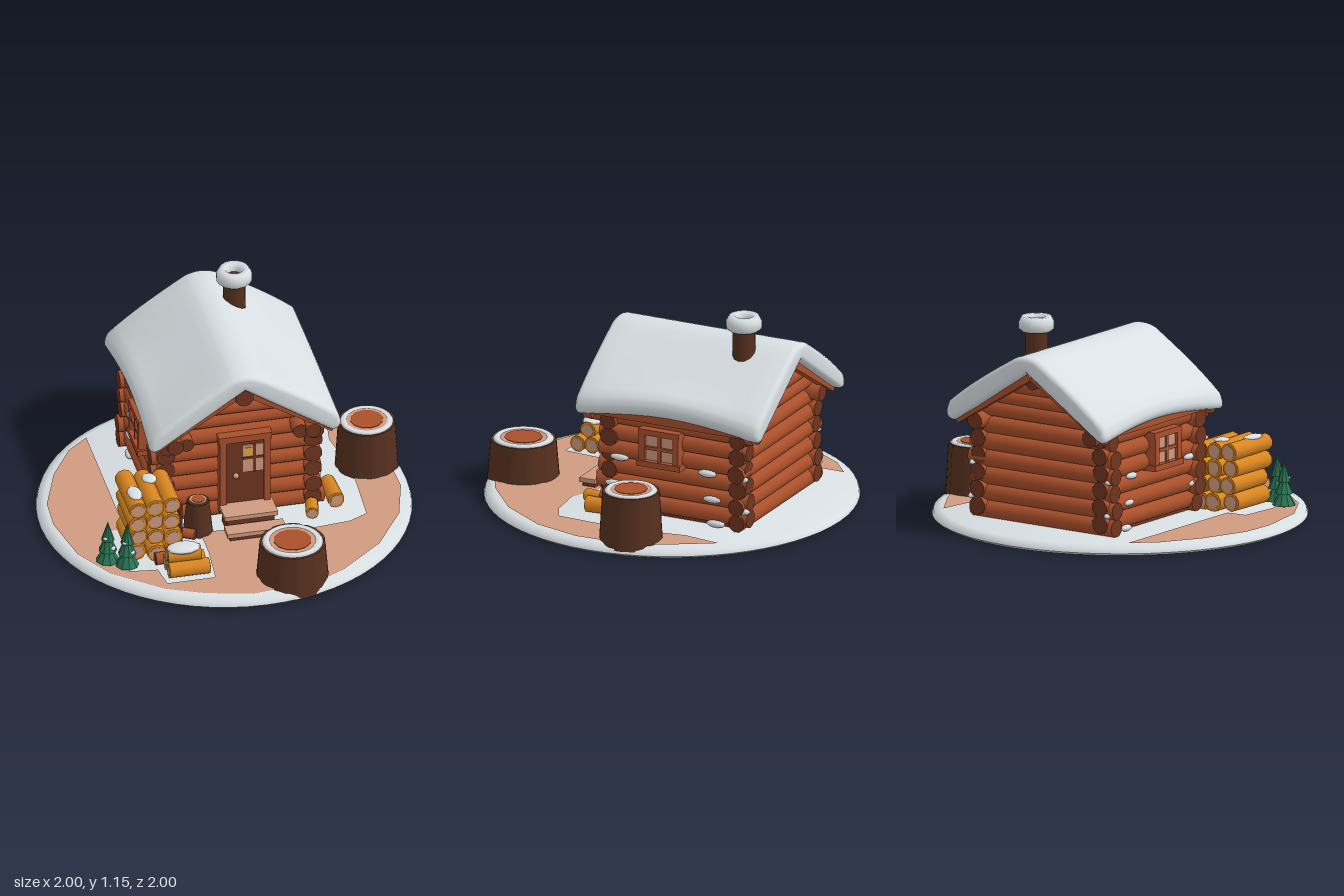
import * as THREE from 'three';
import { toCreasedNormals } from 'three/addons/utils/BufferGeometryUtils.js';

const mat = (name, color) => {
  const m = new THREE.MeshStandardMaterial({ color });
  m.name = name;
  return m;
};
const snow = mat('snow', 0xd8dfe2), sand = mat('sand', 0xd09a80), wood = mat('log wood', 0xab502b);
const darkWood = mat('dark log wood', 0x6f351f), bark = mat('bark', 0x57301f), amber = mat('firewood', 0xd98620);
const pine = mat('pine green', 0x2a7554), glow = mat('lamp yellow', 0xeaa83a);

let seed = 7;
const rnd = (a, b) => {
  seed = (seed * 16807) % 2147483647;
  return a + (b - a) * (seed / 2147483647);
};
const UP = new THREE.Vector3(0, 1, 0);

export function createModel() {
  const root = new THREE.Group();
  const add = (name, geo, m, x = 0, y = 0, z = 0, parent = root) => {
    const mesh = new THREE.Mesh(geo, m);
    mesh.name = name;
    mesh.position.set(x, y, z);
    parent.add(mesh);
    return mesh;
  };
  const box = (name, m, w, h, d, x, y, z, parent) => add(name, new THREE.BoxGeometry(w, h, d), m, x, y, z, parent);
  // Slightly irregular round log between two points
  const log = (name, a, b, r, side = wood, end = darkWood) => {
    const p = new THREE.Vector3(...a), q = new THREE.Vector3(...b), d = q.clone().sub(p);
    const geo = new THREE.CylinderGeometry(r * rnd(0.92, 1.04), r * rnd(0.92, 1.04), d.length(), 10);
    const mesh = add(name, geo, [side, end, end]);
    mesh.position.copy(p.add(q).multiplyScalar(0.5));
    mesh.quaternion.setFromUnitVectors(UP, d.normalize());
    return mesh;
  };
  const blob = (name, x, y, z, sx, sy, sz) => {
    const mesh = add(name, new THREE.SphereGeometry(1, 10, 6), snow, x, y, z);
    mesh.scale.set(sx, sy, sz);
    return mesh;
  };

  // Snowy ground disc with bare earth
  const rim = [[0, 0], [0.975, 0], [0.998, 0.015], [0.99, 0.038], [0.95, 0.053], [0, 0.055]];
  add('snowyGround', toCreasedNormals(new THREE.LatheGeometry(rim.map(p => new THREE.Vector2(...p)), 64), 0.9), snow);
  const earth = [[-0.58, -0.73], [-0.7, -0.63], [-0.83, -0.42], [-0.93, -0.15], [-0.94, 0.05], [-0.88, 0.36], [-0.75, 0.58],
    [-0.5, 0.79], [-0.3, 0.88], [-0.06, 0.94], [0.3, 0.9], [0.46, 0.82], [0.7, 0.62], [0.87, 0.36], [0.94, 0.1], [0.93, -0.2],
    [0.84, -0.4], [0.7, -0.63], [0.67, -0.42], [0.72, -0.1], [0.7, 0.32], [0.6, 0.37], [0.4, 0.39], [0.25, 0.32], [-0.2, 0.3],
    [-0.2, 0.5], [-0.22, 0.74], [-0.48, 0.74], [-0.5, 0.6], [-0.66, 0.58], [-0.71, 0.4], [-0.69, 0.18], [-0.58, 0.17]];
  const earthGeo = new THREE.ShapeGeometry(new THREE.Shape(earth.map(([x, z]) => new THREE.Vector2(x, -z))));
  add('bareEarth', earthGeo.rotateX(-Math.PI / 2), sand, 0, 0.059, 0);

  // Log walls around a dark core
  const cx = 0.04, half = 0.4, zf = 0.13, zb = -0.63;
  box('wallCore', darkWood, 0.8, 0.54, 0.76, cx, 0.32, -0.25);
  for (let i = 0; i < 6; i++) {
    const y = 0.1 + i * 0.092;
    for (const z of [zf, zb]) {
      log('crossLog', [cx - half - rnd(0.05, 0.08), y, z], [cx + half + rnd(0.04, 0.07), y, z], 0.05);
    }
    for (const s of [-1, 1]) {
      const yy = y + 0.02, reach = i === 5 ? 0.12 : 0.06;
      log('sideLog', [cx + s * half, yy, zb - rnd(0.04, 0.06)], [cx + s * half, yy, zf + reach + rnd(-0.01, 0.02)], 0.05);
    }
  }
  // Gable logs shortened to the roof slope
  for (let i = 0; i < 4; i++) {
    const y = 0.65 + i * 0.07, w = (0.9 - y) / 0.62 - 0.01;
    for (const z of [zf, zb]) log('gableLog', [cx + 0.01 - w, y, z], [cx + 0.01 + w, y, z], 0.042);
  }

  // Roof: wooden boards, purlins, rafters and a thick blanket of snow
  const rx = 0.05;
  const boards = new THREE.Shape();
  [[-0.49, 0.6], [0, 0.9], [0.49, 0.6], [0.49, 0.645], [0, 0.945], [-0.49, 0.645]]
    .forEach(([x, y], i) => (i ? boards.lineTo(x, y) : boards.moveTo(x, y)));
  add('roofBoards', new THREE.ExtrudeGeometry(boards, { depth: 0.99, bevelEnabled: false }), wood, rx, 0, -0.74);
  log('ridgeLog', [rx, 0.85, -0.73], [rx, 0.85, 0.27], 0.048);
  for (const s of [-1, 1]) {
    log('eaveLog', [rx + s * 0.375, 0.59, -0.73], [rx + s * 0.375, 0.59, 0.27], 0.046);
    log('frontPurlin', [rx + s * 0.31, 0.585, 0.08], [rx + s * 0.31, 0.585, 0.25], 0.042);
    for (const z of [-0.72, 0.235]) {
      const rafter = box('rafter', wood, 0.56, 0.05, 0.05, rx + s * 0.25, 0.735, z);
      rafter.rotation.z = -s * 0.549;
    }
  }
  const quilt = new THREE.Shape();
  quilt.moveTo(-0.47, 0.635);
  quilt.lineTo(0, 0.935);
  quilt.lineTo(0.47, 0.635);
  quilt.quadraticCurveTo(0.51, 0.64, 0.48, 0.7);
  quilt.quadraticCurveTo(0.3, 0.82, 0.07, 0.955);
  quilt.quadraticCurveTo(0, 0.985, -0.07, 0.955);
  quilt.quadraticCurveTo(-0.3, 0.81, -0.48, 0.68);
  quilt.quadraticCurveTo(-0.51, 0.62, -0.47, 0.635);
  const quiltGeo = new THREE.ExtrudeGeometry(quilt, {
    depth: 1.03, steps: 10, bevelSize: 0.025, bevelThickness: 0.03, bevelSegments: 3, curveSegments: 8 });
  // Eaves sag towards the gable ends
  const qp = quiltGeo.attributes.position;
  for (let i = 0; i < qp.count; i++) {
    const x = qp.getX(i), mid = Math.cos(((qp.getZ(i) - 0.515) / 1.09) * Math.PI);
    qp.setY(i, qp.getY(i) + (x / 0.5) ** 4 * (0.05 * mid - 0.025));
    qp.setX(i, x * (1.01 - 0.03 * mid));
  }
  add('roofSnow', toCreasedNormals(quiltGeo, 0.8), snow, rx, 0, -0.765);

  // Chimney with a snow ring
  add('chimney', new THREE.CylinderGeometry(0.06, 0.064, 0.3, 12), bark, 0.175, 0.95, -0.515);
  const collar = [[0.045, 1.08], [0.08, 1.075], [0.096, 1.09], [0.096, 1.125], [0.08, 1.155], [0.05, 1.155], [0.035, 1.13], [0.035, 1.09]];
  add('chimneySnow', new THREE.LatheGeometry(collar.map(p => new THREE.Vector2(...p)), 16), snow, 0.175, 0, -0.515);
  add('flue', new THREE.CylinderGeometry(0.045, 0.045, 0.02, 12), bark, 0.175, 1.105, -0.515);

  // Door
  box('doorPanel', darkWood, 0.23, 0.43, 0.04, 0.065, 0.33, 0.185);
  for (const x of [-0.055, 0.185]) box('doorPost', wood, 0.035, 0.47, 0.06, x, 0.34, 0.19);
  box('doorLintel', wood, 0.29, 0.04, 0.07, 0.065, 0.565, 0.19);
  box('doorGlass', sand, 0.11, 0.17, 0.008, 0.11, 0.43, 0.208);
  box('doorGlassGlow', glow, 0.04, 0.05, 0.008, 0.085, 0.475, 0.212);
  box('doorMuntin', darkWood, 0.014, 0.17, 0.016, 0.115, 0.43, 0.21);
  box('doorMuntin', darkWood, 0.11, 0.014, 0.016, 0.11, 0.435, 0.21);
  add('doorKnob', new THREE.SphereGeometry(0.016, 10, 8), sand, 0.015, 0.33, 0.215);

  // Steps
  box('upperStep', sand, 0.29, 0.025, 0.14, 0.07, 0.145, 0.27);
  box('upperRiser', darkWood, 0.26, 0.08, 0.12, 0.07, 0.092, 0.265);
  box('lowerStep', sand, 0.32, 0.025, 0.09, 0.08, 0.095, 0.385);
  box('lowerRiser', darkWood, 0.29, 0.03, 0.075, 0.08, 0.07, 0.38);

  // Side windows
  for (const s of [-1, 1]) {
    const win = new THREE.Group();
    win.name = 'sideWindow';
    box('windowBacking', darkWood, 0.2, 0.17, 0.06, 0, 0, -0.02, win);
    box('windowGlass', sand, 0.17, 0.14, 0.008, 0, 0, 0.014, win);
    for (const k of [-1, 1]) {
      box('frameUpright', wood, 0.035, 0.2, 0.07, k * 0.1, 0, 0, win);
      box('frameRail', wood, k < 0 ? 0.26 : 0.24, 0.032, k < 0 ? 0.085 : 0.07, 0, k * 0.088, 0, win);
    }
    box('muntin', wood, 0.018, 0.16, 0.03, 0, 0, 0.015, win);
    box('muntin', wood, 0.17, 0.018, 0.03, 0, 0, 0.015, win);
    win.position.set(cx + s * 0.455, 0.455, -0.185);
    win.rotation.y = s * Math.PI / 2;
    root.add(win);
  }

  // Tree stumps: ridged bark, snow ring and cut face
  const stump = (x, z, y0, y1, rb, rt, ring) => {
    const geo = new THREE.CylinderGeometry(rt, rb, y1 - y0, 44, 3);
    const p = geo.attributes.position;
    for (let i = 0; i < p.count; i++) {
      const a = Math.atan2(p.getZ(i), p.getX(i));
      const k = 1 - 0.05 * Math.max(0, Math.sin(a * 11 + 0.8 * Math.sin(a * 3))) ** 4;
      p.setX(i, p.getX(i) * k);
      p.setZ(i, p.getZ(i) * k);
    }
    add('stumpBark', toCreasedNormals(geo, 0.7), bark, x, (y0 + y1) / 2, z);
    const torus = new THREE.TorusGeometry(rt * 0.8, rt * 0.13, 6, 24).rotateX(Math.PI / 2).scale(1, 0.6, 1);
    add('stumpRing', torus, ring, x, y1, z);
    add('stumpSapwood', new THREE.CylinderGeometry(rt * 0.78, rt * 0.78, 0.008, 8), sand, x, y1 + 0.003, z);
    add('stumpHeartwood', new THREE.CylinderGeometry(rt * 0.58, rt * 0.58, 0.009, 12), wood, x, y1 + 0.006, z);
  };
  stump(0.19, 0.785, 0.01, 0.255, 0.195, 0.175, snow);
  stump(0.815, -0.165, 0.03, 0.32, 0.17, 0.152, snow);
  stump(-0.205, 0.27, 0.05, 0.245, 0.08, 0.06, bark);

  // Split firewood log with pale cut faces
  const firewood = (a, b, r) => {
    const mesh = log('firewoodLog', a, b, r, amber, amber);
    const len = mesh.geometry.parameters.height;
    for (const s of [-1, 1]) {
      add('cutFace', new THREE.CylinderGeometry(r * 0.72, r * 0.72, 0.006, 10), sand, 0, s * len / 2, 0, mesh);
    }
  };
  for (let c = 0; c < 3; c++) {
    for (let r = 0; r < 4; r++) {
      const x = -0.578 + c * 0.088 + rnd(-0.008, 0.008), y = 0.108 + r * 0.092 - c * 0.006;
      firewood([x, y, 0.18 + rnd(-0.01, 0.02)], [x, y, 0.49 + rnd(-0.02, 0.02)], 0.05);
    }
  }
  box('pileBrace', bark, 0.02, 0.28, 0.03, -0.34, 0.2, 0.43);
  blob('pileSnow', -0.58, 0.428, 0.4, 0.04, 0.015, 0.07);
  blob('pileSnow', -0.47, 0.422, 0.27, 0.04, 0.014, 0.05);
  for (const [y, z, e] of [[0.1, 0.6, -0.25], [0.1, 0.68, -0.24], [0.17, 0.64, -0.28]]) {
    firewood([-0.46, y, z], [e, y, z], 0.045);
  }
  blob('firewoodSnow', -0.37, 0.205, 0.64, 0.095, 0.02, 0.06);
  firewood([0.555, 0.1, 0.03], [0.56, 0.1, 0.22], 0.045);
  firewood([0.43, 0.09, 0.2], [0.41, 0.09, 0.3], 0.036);
  log('looseLog', [-0.5, 0.09, 0.54], [-0.35, 0.09, 0.54], 0.035);
  log('looseLog', [-0.35, 0.09, 0.3], [-0.24, 0.09, 0.36], 0.03);

  // Little pine trees dusted with snow
  for (const [x, z, h] of [[-0.74, 0.46, 0.245], [-0.65, 0.525, 0.26]]) {
    add('pineTrunk', new THREE.CylinderGeometry(0.015, 0.018, 0.05, 8), bark, x, 0.07, z);
    for (let i = 0; i < 3; i++) {
      const r = 0.064 - i * 0.014, ch = h * 0.46;
      add('pineTier', toCreasedNormals(new THREE.ConeGeometry(r, ch, 9), 0.3), pine, x, 0.07 + ch / 2 + i * h * 0.26, z);
    }
    blob('pineSnow', x + 0.02, 0.155, z + 0.025, 0.018, 0.012, 0.016);
    blob('pineSnow', x - 0.015, 0.215, z + 0.018, 0.014, 0.01, 0.012);
  }

  // Snow lodged on the wall logs
  for (const [y, z] of [[0.36, 0.07], [0.35, -0.45], [0.35, -0.64], [0.21, -0.48], [0.21, 0.1], [0.17, -0.65], [0.075, -0.5]]) {
    blob('wallSnow', cx + half + 0.04, y, z, 0.022, 0.02, 0.055);
    blob('wallSnow', cx - half - 0.04, y, z, 0.022, 0.018, 0.045);
  }
  return root;
}
